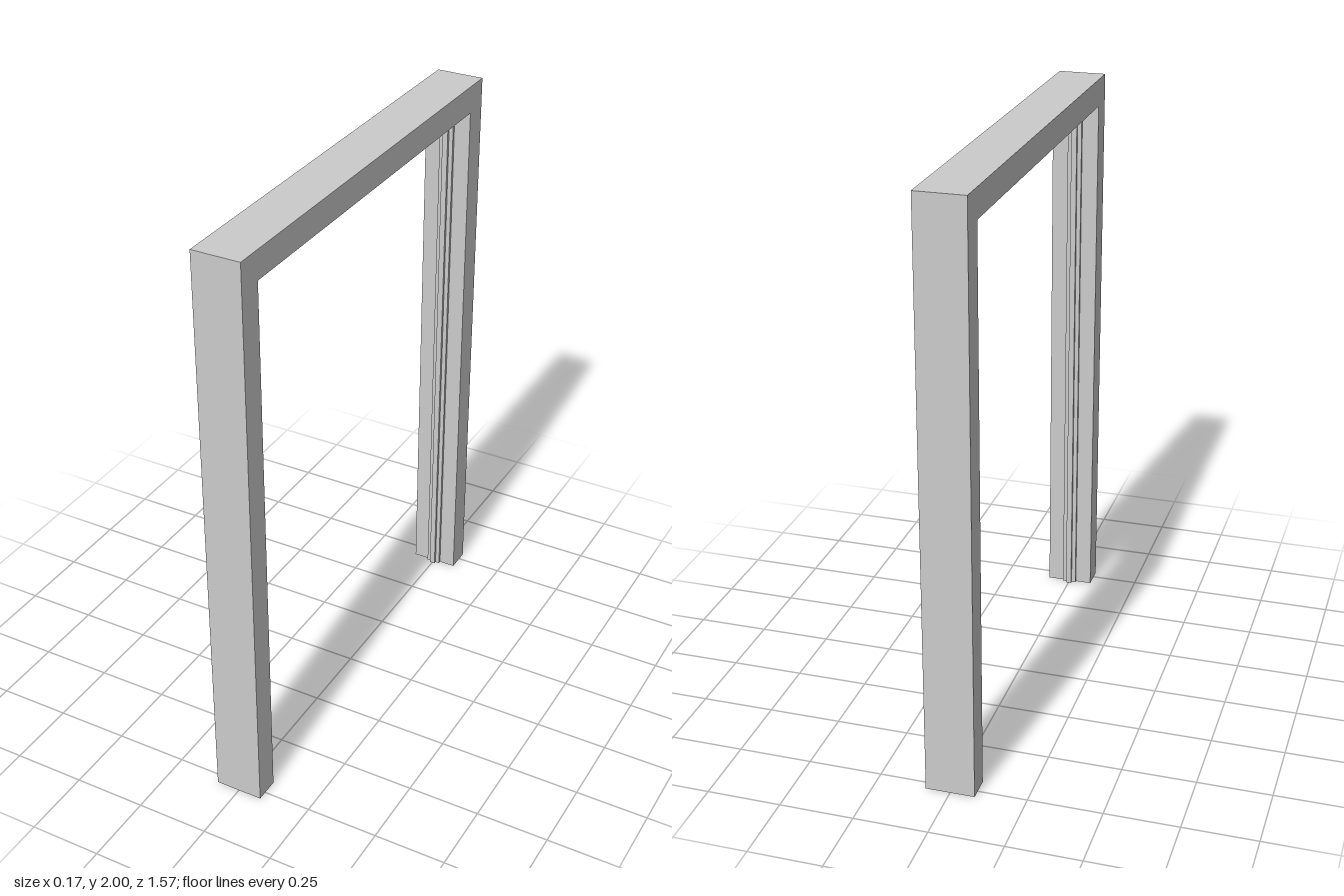
import * as THREE from 'three';

const HALF_SPAN = 0.783; // outer half width of the frame along z
const HEIGHT = 2;

// Upside-down U outline in the z-y plane, extruded across x.
// side and head are the distances in from the outer edge.
function archBand(name, outer, inner, depth, material) {
  const zo = HALF_SPAN - outer.side, yo = HEIGHT - outer.head;
  const zi = HALF_SPAN - inner.side, yi = HEIGHT - inner.head;
  const shape = new THREE.Shape([
    [-zo, 0], [-zi, 0], [-zi, yi], [zi, yi],
    [zi, 0], [zo, 0], [zo, yo], [-zo, yo],
  ].map(([z, y]) => new THREE.Vector2(z, y)));
  const geometry = new THREE.ExtrudeGeometry(shape, { depth, bevelEnabled: false });
  geometry.translate(0, 0, -depth / 2);
  geometry.rotateY(Math.PI / 2);
  const mesh = new THREE.Mesh(geometry, material);
  mesh.name = name;
  return mesh;
}

export function createModel() {
  const group = new THREE.Group();
  group.name = 'doorFrame';
  const material = new THREE.MeshStandardMaterial({ color: 0xcccccc });

  // Insets of the successive steps towards the opening
  const edge = { side: 0, head: 0 };
  const lining = { side: 0.087, head: 0.096 };
  const step = { side: 0.097, head: 0.108 };
  const stop = { side: 0.107, head: 0.12 };

  group.add(
    archBand('jambsAndHead', edge, lining, 0.166, material), // main frame
    archBand('stopBase', lining, step, 0.05, material),      // wide lower step
    archBand('stopRidge', step, stop, 0.02, material),       // narrow upper step
  );
  return group;
}
